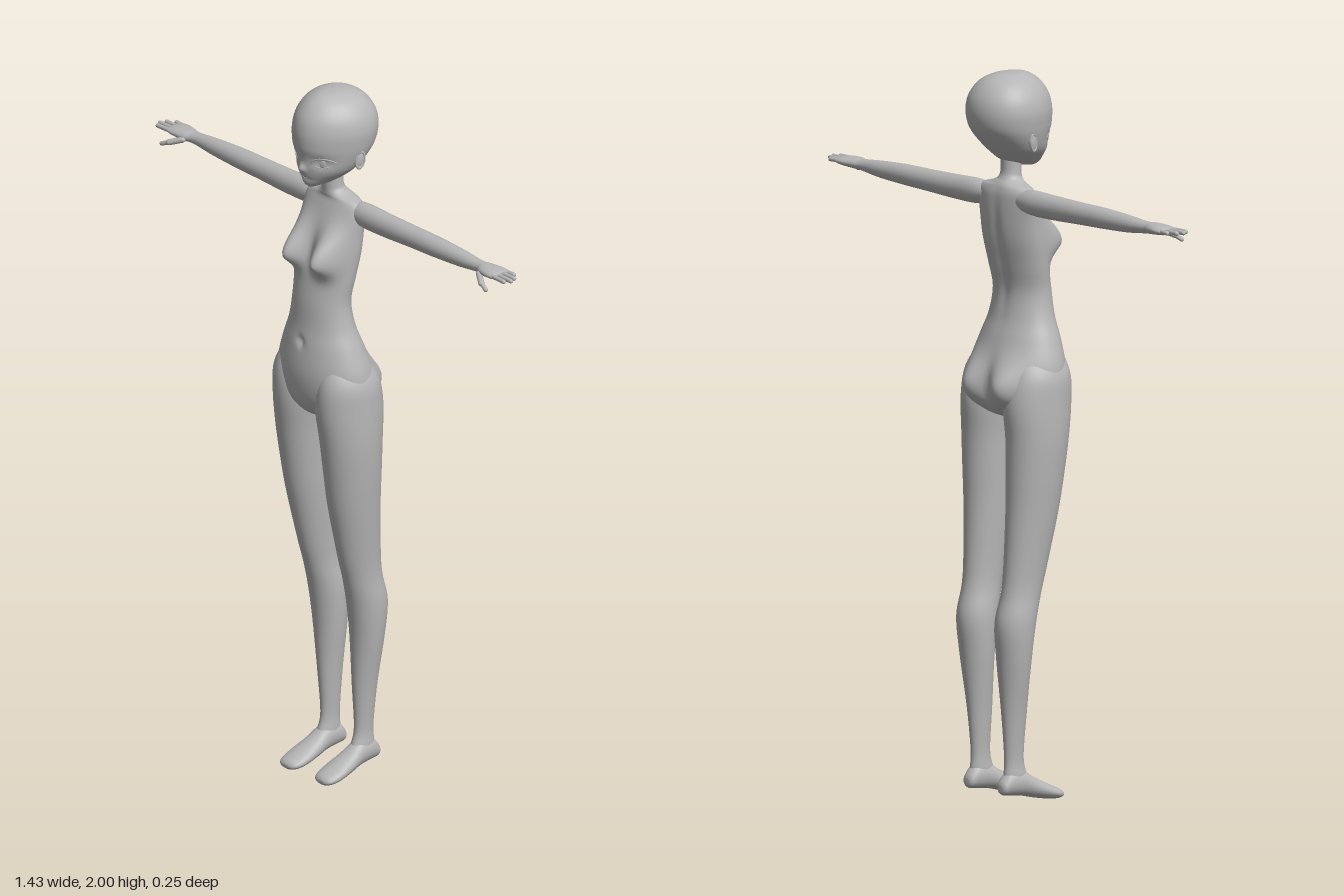
import * as THREE from 'three';

const skin = new THREE.MeshStandardMaterial({ color: 0xb6b6b6 });
skin.name = 'plain grey';

const gauss = (d, s) => Math.exp(-(d * d) / (2 * s * s));

// Catmull-Rom blend between the rows of a cross-section table
function sampleRows(rows, steps) {
  const out = [];
  const at = i => rows[Math.max(0, Math.min(rows.length - 1, i))];
  for (let i = 0; i < rows.length - 1; i++) {
    for (let s = 0; s < steps; s++) {
      const t = s / steps;
      out.push(rows[i].map((b, k) => {
        const a = at(i - 1)[k], c = at(i + 1)[k], d = at(i + 2)[k];
        return b + 0.5 * t * (c - a + t * (2 * a - 5 * b + 4 * c - d + t * (3 * (b - c) + d - a)));
      }));
    }
  }
  out.push(rows[rows.length - 1]);
  return out;
}

// Closed loft through rows of [t, uMin, uMax, vMin, vMax]
function loft(rows, { place = (t, u, v) => [u, t, v], n = 32, steps = 6, egg = 0, deform = null } = {}) {
  const sections = sampleRows(rows, steps), pos = [], index = [];
  for (const [t, u0, u1, v0, v1] of sections) {
    for (let j = 0; j < n; j++) {
      const a = (j / n) * Math.PI * 2, s = Math.sin(a);
      const p = place(t, (u0 + u1) / 2 + (u1 - u0) / 2 * Math.cos(a) * (1 - egg * s), (v0 + v1) / 2 + (v1 - v0) / 2 * s);
      if (deform) deform(p, s);
      pos.push(...p);
    }
  }
  const last = sections.length - 1;
  for (let i = 0; i < last; i++) {
    for (let j = 0; j < n; j++) {
      const a = i * n + j, b = i * n + (j + 1) % n;
      index.push(a, b, a + n, b, b + n, a + n);
    }
  }
  for (const [row, flip] of [[0, true], [last, false]]) {
    const [t, u0, u1, v0, v1] = sections[row], c = pos.length / 3;
    pos.push(...place(t, (u0 + u1) / 2, (v0 + v1) / 2));
    for (let j = 0; j < n; j++) {
      const a = row * n + j, b = row * n + (j + 1) % n;
      index.push(...(flip ? [c, b, a] : [c, a, b]));
    }
  }
  // Turn the faces outward when the enclosed volume is negative
  let volume = 0;
  const P = i => new THREE.Vector3(pos[3 * i], pos[3 * i + 1], pos[3 * i + 2]);
  for (let i = 0; i < index.length; i += 3) volume += P(index[i]).dot(P(index[i + 1]).cross(P(index[i + 2])));
  if (volume < 0) index.reverse();
  const g = new THREE.BufferGeometry();
  g.setAttribute('position', new THREE.Float32BufferAttribute(pos, 3));
  g.setIndex(index);
  g.computeVertexNormals();
  return g;
}

// Rounded finger between two points
function finger(a, b, r) {
  const A = new THREE.Vector3(...a), B = new THREE.Vector3(...b), d = B.clone().sub(A);
  const g = new THREE.CapsuleGeometry(r, d.length(), 5, 12);
  g.applyQuaternion(new THREE.Quaternion().setFromUnitVectors(new THREE.Vector3(0, 1, 0), d.normalize()));
  const m = A.add(B).multiplyScalar(0.5);
  return g.translate(m.x, m.y, m.z);
}

function mirrored(g) {
  const m = g.clone().scale(-1, 1, 1);
  m.setIndex(Array.from(g.index.array).reverse());
  return m;
}

export function createModel() {
  const model = new THREE.Group();
  model.name = 'figure';
  const add = (name, geometry) => {
    const mesh = new THREE.Mesh(geometry, skin);
    mesh.name = name;
    model.add(mesh);
    return mesh;
  };
  const pair = (name, geometry) => {
    add('left ' + name, geometry);
    add('right ' + name, mirrored(geometry));
  };
  const even = rows => rows.map(([y, w, b, f]) => [y, -w, w, b, f]);

  // Neck and torso, with soft swells over the chest and seat
  add('torso', loft(even([
    [1.78, .028, -.03, .025], [1.73, .029, -.03, .026], [1.71, .034, -.036, .026],
    [1.698, .055, -.045, .026], [1.685, .095, -.052, .026], [1.66, .11, -.058, .036],
    [1.6, .108, -.06, .06], [1.54, .106, -.055, .075], [1.47, .1, -.04, .09],
    [1.4, .094, -.027, .103], [1.33, .106, -.036, .11], [1.27, .13, -.055, .12],
    [1.2, .152, -.075, .127], [1.14, .15, -.08, .122], [1.1, .12, -.078, .11],
    [1.07, .07, -.06, .085], [1.055, .025, -.03, .05],
  ]), {
    n: 72, steps: 7,
    deform: (p, s) => {
      const x = Math.abs(p[0]), y = p[1];
      if (s > 0) {
        const w = THREE.MathUtils.smoothstep(s, 0, 0.6);
        p[2] += w * 0.062 * gauss(x - 0.06, 0.026) * gauss(y - 1.53, y > 1.53 ? 0.05 : 0.028);
        p[2] -= 0.012 * gauss(x, 0.007) * gauss(y - 1.287, 0.009);
      } else {
        const w = THREE.MathUtils.smoothstep(-s, 0, 0.6);
        p[2] -= w * 0.045 * gauss(x - 0.066, 0.036) * gauss(y - 1.145, 0.045);
        p[2] += w * 0.008 * gauss(x, 0.012) * gauss(y - 1.5, 0.1);
      }
    },
  }));

  // Head: egg-shaped skull, small chin, nose and shallow eye sockets
  const head = add('head', loft(even([
    [2, .002, -.005, .001], [1.995, .036, -.05, .045], [1.975, .074, -.09, .08],
    [1.94, .1, -.117, .107], [1.9, .11, -.126, .118], [1.86, .107, -.12, .118],
    [1.83, .1, -.102, .112], [1.8, .088, -.075, .108], [1.78, .074, -.055, .105],
    [1.76, .052, -.032, .101], [1.745, .031, .005, .096], [1.735, .01, .05, .085],
  ]), {
    n: 72, steps: 8, egg: 0.13,
    deform: (p, s) => {
      if (s <= 0) return;
      const x = Math.abs(p[0]), y = p[1];
      p[2] += 0.013 * gauss(x, 0.007) * gauss(y - 1.795, 0.009);
      p[2] -= 0.007 * gauss(x - 0.052, 0.016) * gauss(y - 1.819, 0.012);
      p[2] -= 0.003 * gauss(x, 0.014) * gauss(y - 1.765, 0.004);
    },
  }));

  // Eyelids and lips laid on the face surface
  head.updateMatrixWorld();
  const ray = new THREE.Raycaster();
  const onFace = ([x, y]) => {
    ray.set(new THREE.Vector3(x, y, 1), new THREE.Vector3(0, 0, -1));
    const hit = ray.intersectObject(head)[0];
    return new THREE.Vector3(x, y, hit ? hit.point.z : 0.08);
  };
  const line = (points, r) => new THREE.TubeGeometry(new THREE.CatmullRomCurve3(points.map(onFace)), 20, r, 6);
  pair('upper eyelid', line([[.028, 1.814], [.036, 1.828], [.054, 1.833], [.07, 1.829], [.08, 1.82]], .0024));
  pair('lower eyelid', line([[.034, 1.809], [.05, 1.804], [.068, 1.808]], .0014));
  const iris = new THREE.SphereGeometry(1, 20, 14).scale(.01, .013, .003);
  const at = onFace([.052, 1.818]);
  pair('eye', iris.rotateY(.45).translate(at.x, at.y, at.z));
  add('mouth', line([[-.014, 1.767], [0, 1.765], [.014, 1.767]], .0013));

  // Ears: flat shell with a raised rim
  const shell = new THREE.SphereGeometry(1, 20, 14).scale(.008, .026, .015);
  const rim = new THREE.TorusGeometry(1, .2, 8, 28).rotateY(Math.PI / 2).scale(.012, .023, .013);
  for (const [name, g, x] of [['ear', shell, .097], ['ear rim', rim, .102]]) {
    pair(name, g.rotateX(-.15).rotateY(-.25).translate(x, 1.818, -.01));
  }

  // Arms run straight out along x and flatten into the palms
  pair('arm', loft([
    [.05, 1.635, 1.68, -.045, .005], [.11, 1.622, 1.69, -.052, .011], [.2, 1.621, 1.688, -.05, .01],
    [.3, 1.625, 1.686, -.05, .008], [.4, 1.628, 1.685, -.049, .007], [.5, 1.633, 1.68, -.045, .002],
    [.572, 1.641, 1.674, -.04, -.002], [.6, 1.643, 1.675, -.046, .008], [.63, 1.646, 1.674, -.053, .013],
    [.655, 1.649, 1.671, -.053, .012], [.664, 1.654, 1.668, -.046, .006],
  ], { place: (t, u, v) => [t, u, v] }));
  [[-.046, .683, 'little finger'], [-.029, .703, 'ring finger'], [-.011, .71, 'middle finger'], [.006, .7, 'index finger']]
    .forEach(([z, tip, name]) => pair(name, finger([.648, 1.661, z * .92 - .001], [tip, 1.661, z], .0062)));
  pair('thumb', finger([.6, 1.652, .006], [.632, 1.64, .026], .0085));
  pair('thumb tip', finger([.632, 1.64, .026], [.656, 1.63, .031], .0062));

  // Legs taper through knee and calf to the ankle
  pair('leg', loft([
    [1.25, .04, .118, -.03, .09], [1.18, .015, .157, -.07, .115], [1.1, .007, .164, -.086, .118],
    [1, .014, .165, -.08, .105], [.9, .018, .158, -.079, .091], [.8, .022, .148, -.08, .075],
    [.65, .03, .132, -.088, .041], [.58, .031, .128, -.096, .022], [.5, .024, .131, -.114, .003],
    [.4, .027, .123, -.106, -.01], [.25, .04, .1, -.091, -.016], [.13, .047, .089, -.082, -.022],
    [.08, .045, .092, -.085, -.01], [.045, .046, .092, -.085, 0],
  ], { n: 40 }));

  // Feet run along z, with the heel a little higher than the toes
  pair('foot', loft([
    [-.101, .06, .078, .04, .058], [-.094, .049, .088, .031, .072], [-.07, .043, .094, .027, .095],
    [-.03, .04, .098, .022, .094], [.01, .035, .104, .012, .07], [.05, .031, .109, .004, .05],
    [.08, .033, .108, 0, .036], [.1, .042, .1, .001, .026], [.108, .058, .086, .007, .017],
  ], { place: (t, u, v) => [u, v, t] }));

  return model;
}
